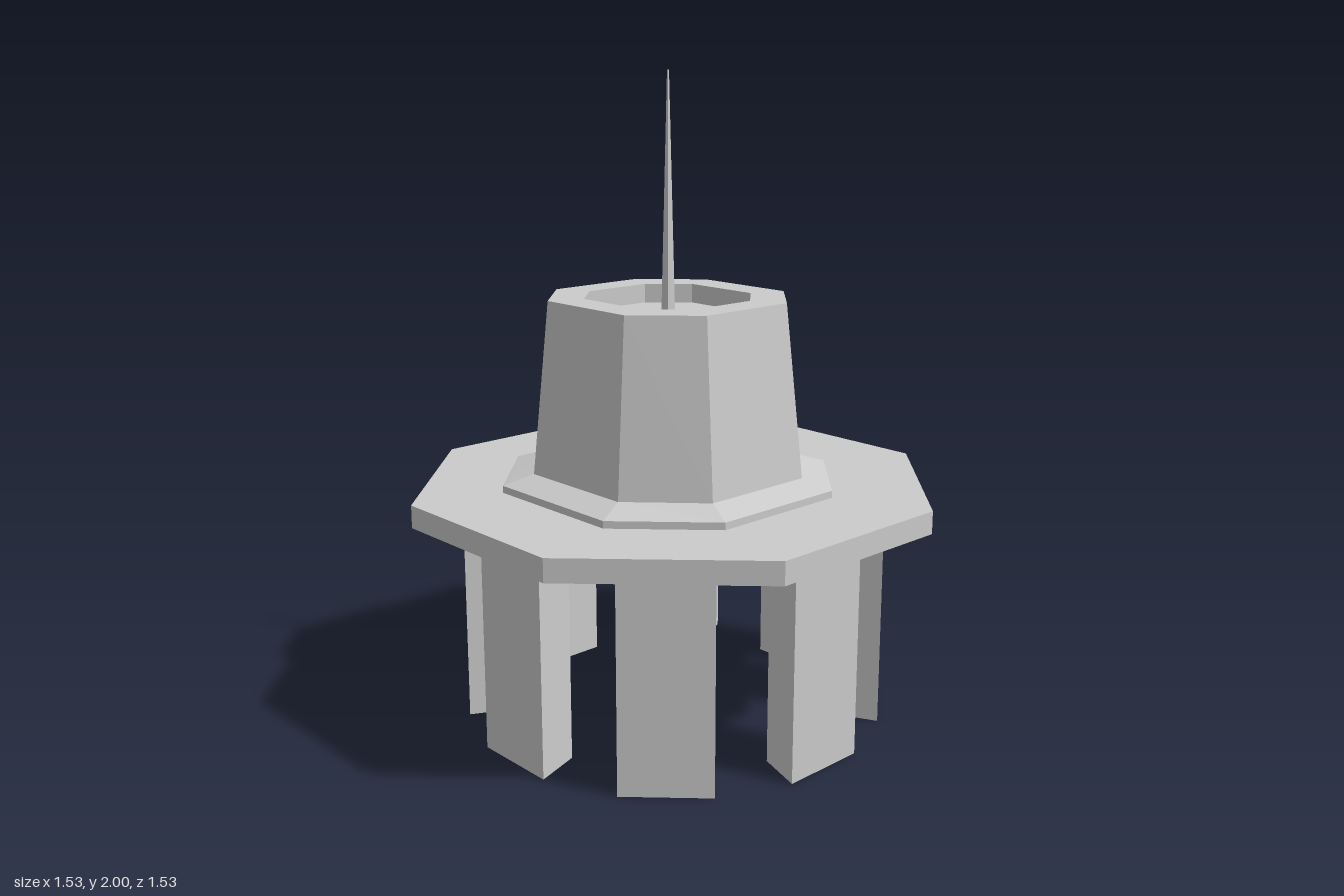
import * as THREE from 'three';

const material = new THREE.MeshStandardMaterial({ color: 0xcccccc, flatShading: true, side: THREE.DoubleSide });

// Octagon corners: half extents ax, az and half lengths hx, hz of the straight sides
const octagon = (ax, az, hx, hz) => [
  [ax, hz], [hx, az], [-hx, az], [-ax, hz], [-ax, -hz], [-hx, -az], [hx, -az], [ax, -hz],
];

// Joins equal-length outlines listed from bottom to top and closes both ends
function loft(sections) {
  const pos = [];
  const tri = (...pts) => pts.forEach((p) => pos.push(...p));
  const rings = sections.map(([y, pts]) => pts.map(([x, z]) => [x, y, z]));
  const n = rings[0].length;
  for (let s = 0; s < rings.length - 1; s++) {
    for (let i = 0; i < n; i++) {
      const j = (i + 1) % n;
      const a = rings[s][i], b = rings[s][j], c = rings[s + 1][j], d = rings[s + 1][i];
      tri(a, c, b);
      tri(a, d, c);
    }
  }
  const bottom = rings[0], top = rings[rings.length - 1];
  for (let i = 1; i < n - 1; i++) {
    tri(bottom[0], bottom[i], bottom[i + 1]);
    tri(top[0], top[i + 1], top[i]);
  }
  const g = new THREE.BufferGeometry();
  g.setAttribute('position', new THREE.Float32BufferAttribute(pos, 3));
  g.computeVertexNormals();
  return g;
}

function addPart(parent, name, geometry, x = 0) {
  const mesh = new THREE.Mesh(geometry, material);
  mesh.name = name;
  mesh.position.x = x;
  parent.add(mesh);
  return mesh;
}

export function createModel() {
  const model = new THREE.Group();
  model.name = 'tower';
  const cx = -0.025; // the upper tower sits slightly off the platform centre

  // Eight wedge-shaped legs, wide on the outside
  const legs = new THREE.Group();
  legs.name = 'legs';
  model.add(legs);
  const wedge = [[0.138, 0.645], [-0.138, 0.645], [-0.09, 0.5], [0.09, 0.5]];
  const legGeometry = loft([[0, wedge], [0.68, wedge]]);
  for (let i = 0; i < 8; i++) {
    addPart(legs, 'leg', legGeometry).rotation.y = (i * Math.PI) / 4;
  }

  // Octagonal platform
  const slab = octagon(0.765, 0.765, 0.315, 0.315);
  addPart(model, 'platform', loft([[0.68, slab], [0.75, slab]]));

  // Shallow drum under the platform
  addPart(model, 'lowerDrum', loft([
    [0.62, octagon(0.455, 0.465, 0.218, 0.225)],
    [0.68, octagon(0.465, 0.478, 0.225, 0.235)],
  ]), cx);

  // Sloped moulding at the foot of the tower
  const foot = octagon(0.465, 0.478, 0.225, 0.235);
  const base = octagon(0.376, 0.39, 0.188, 0.196);
  addPart(model, 'baseMoulding', loft([[0.75, foot], [0.772, foot], [0.8, base]]), cx);

  // Tapering tower with a recessed top
  const rim = octagon(0.328, 0.338, 0.164, 0.173);
  const recess = octagon(0.224, 0.235, 0.115, 0.13);
  addPart(model, 'towerBody', loft([[0.8, base], [1.33, rim], [1.33, recess], [1.27, recess]]), cx);

  // Thin square spire
  const spire = new THREE.CylinderGeometry(0.003, 0.021, 0.73, 4).rotateY(Math.PI / 4);
  addPart(model, 'spire', spire.translate(0, 1.635, 0), cx);

  return model;
}
